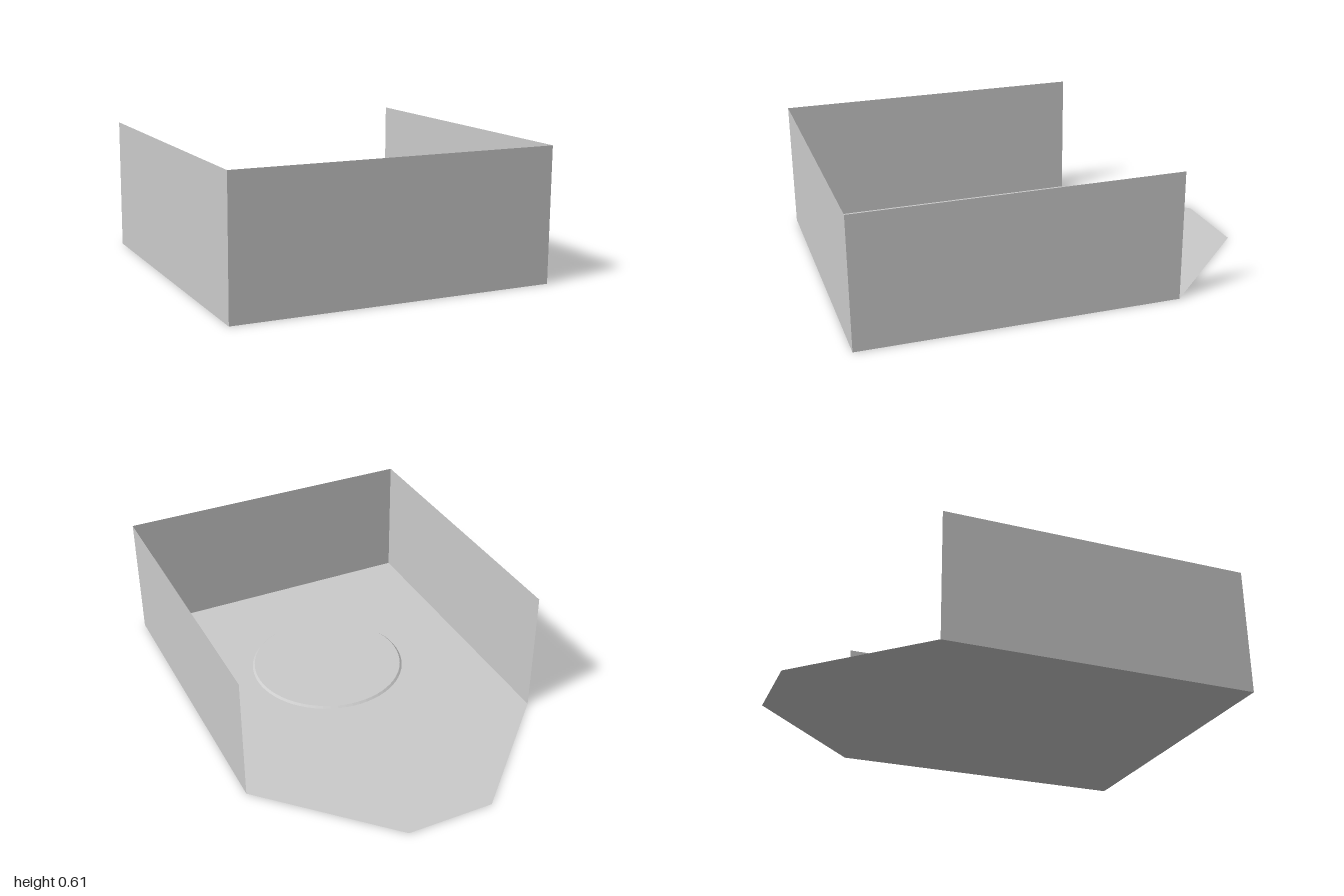
import * as THREE from 'three';

const W = 0.735, H = 0.605, FRONT = 1, WALL_BACK = -0.47, BACK = -1, BACK_W = 0.205;

export function createModel() {
  const model = new THREE.Group();
  const material = new THREE.MeshStandardMaterial({ color: 0xcccccc, side: THREE.DoubleSide, flatShading: true });

  const add = (name, geometry, x = 0, y = 0, z = 0, turn = 0) => {
    const mesh = new THREE.Mesh(geometry, material);
    mesh.name = name;
    mesh.position.set(x, y, z);
    mesh.rotation.y = turn;
    model.add(mesh);
  };

  // Thin floor sheet with a chamfered back; shape y becomes -z
  const outline = [
    [-W, -FRONT], [W, -FRONT], [W, -WALL_BACK],
    [BACK_W, -BACK], [-BACK_W, -BACK], [-W, -WALL_BACK],
  ].map(([x, y]) => new THREE.Vector2(x, y));
  add('floor', new THREE.ShapeGeometry(new THREE.Shape(outline)).rotateX(-Math.PI / 2));

  // Upright walls: front and both sides, open at the back
  const depth = FRONT - WALL_BACK;
  add('frontWall', new THREE.PlaneGeometry(2 * W, H), 0, H / 2, FRONT);
  for (const [name, side] of [['leftWall', 1], ['rightWall', -1]]) {
    add(name, new THREE.PlaneGeometry(depth, H), side * W, H / 2, (FRONT + WALL_BACK) / 2, side * Math.PI / 2);
  }

  // Low bevelled disc resting on the floor, with no underside
  const disc = [[0.38, 0.001], [0.37, 0.01], [0, 0.01]].map(([r, y]) => new THREE.Vector2(r, y));
  add('floorDisc', new THREE.LatheGeometry(disc, 64), 0, 0, 0.263);

  return model;
}
